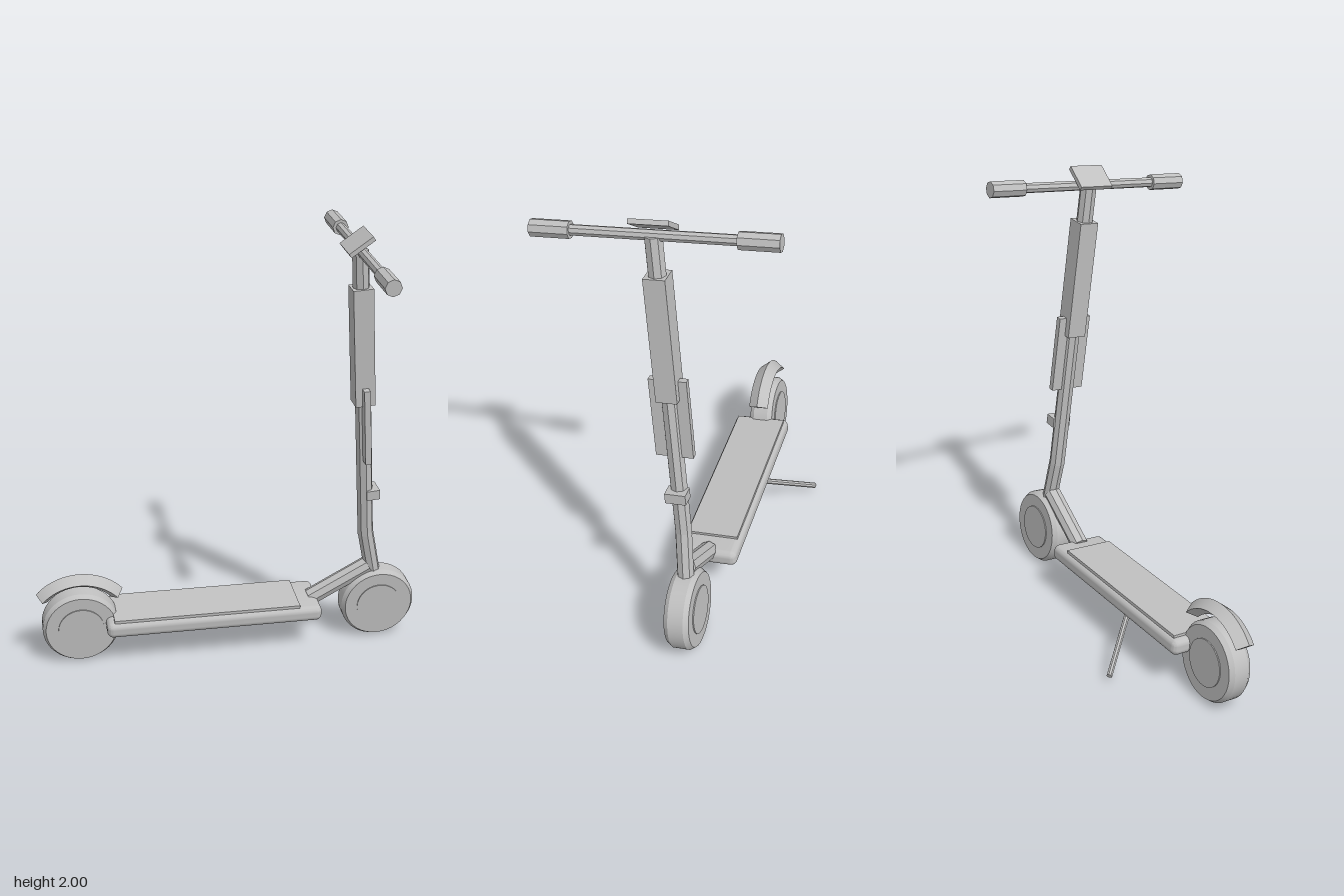
import * as THREE from 'three';
import { mergeGeometries, toCreasedNormals } from 'three/addons/utils/BufferGeometryUtils.js';
import { RoundedBoxGeometry } from 'three/addons/geometries/RoundedBoxGeometry.js';

export function createModel() {
  const grey = new THREE.MeshStandardMaterial({ color: 0xc0c0c0 });
  grey.name = 'light grey';
  const model = new THREE.Group();
  model.name = 'kickScooter';

  // The whole scooter leans over onto its kickstand
  const body = new THREE.Group();
  body.name = 'leaningBody';
  body.rotation.x = THREE.MathUtils.degToRad(6);
  body.position.set(0, 0.005, -0.19);
  model.add(body);

  function add(name, geometry, x = 0, y = 0, z = 0, parent = body) {
    const mesh = new THREE.Mesh(toCreasedNormals(geometry, 0.5), grey);
    mesh.name = name;
    mesh.position.set(x, y, z);
    parent.add(mesh);
    return mesh;
  }

  // Straight faceted bar between two points
  function rod(name, a, b, radius, sides = 8, parent = body) {
    const from = new THREE.Vector3(...a), to = new THREE.Vector3(...b);
    const dir = to.clone().sub(from);
    const mesh = add(name, new THREE.CylinderGeometry(radius, radius, dir.length(), sides), 0, 0, 0, parent);
    mesh.position.copy(from).add(to).multiplyScalar(0.5);
    mesh.quaternion.setFromUnitVectors(new THREE.Vector3(0, 1, 0), dir.normalize());
    return mesh;
  }

  // Wheels: chamfered tyre with a slightly raised hub on both faces
  const half = [[0.105, 0.06], [0.105, 0.055], [0.162, 0.055], [0.176, 0.034]];
  const profile = [[0, 0.06], ...half, ...half.slice().reverse().map(([r, h]) => [r, -h]), [0, -0.06]];
  const points = profile.reverse().map(([r, h]) => new THREE.Vector2(r, h));
  for (const [name, x] of [['rearWheel', -0.70], ['frontWheel', 0.715]]) {
    add(name, new THREE.LatheGeometry(points, 40).rotateX(Math.PI / 2), x, 0.177, 0);
  }

  // Rear mudguard: diamond section swept over the wheel, closed at both ends
  const arc = THREE.MathUtils.degToRad(98), sweep = 0.228, tube = 0.034;
  const guard = mergeGeometries([
    new THREE.TorusGeometry(sweep, tube, 4, 24, arc),
    new THREE.CircleGeometry(tube, 4).rotateX(Math.PI / 2).translate(sweep, 0, 0),
    new THREE.CircleGeometry(tube, 4).rotateX(-Math.PI / 2).translate(sweep, 0, 0).rotateZ(arc),
  ]);
  guard.rotateZ((Math.PI - arc) / 2).scale(1, 1, 1.4);
  add('rearMudguard', guard, -0.70, 0.177, 0);

  // Deck with its foot mat, and the neck rising to the stem
  add('deck', new RoundedBoxGeometry(1.008, 0.075, 0.266, 4, 0.028), -0.082, 0.194, 0);
  add('footMat', new THREE.BoxGeometry(0.868, 0.024, 0.232), -0.118, 0.231, 0);
  rod('neck', [0.388, 0.212, 0], [0.665, 0.37, 0], 0.041);

  // Bent stem
  rod('lowerStem', [0.692, 0.32, 0], [0.642, 0.555, 0], 0.037);
  rod('upperStem', [0.643, 0.54, 0], [0.533, 1.92, 0], 0.037);

  // Boxes fixed along the stem
  const lean = 0.079;
  const stemX = (y) => 0.643 - (y - 0.54) * 0.0797;
  const battery = add('batteryBox', new THREE.BoxGeometry(0.09, 0.545, 0.09), stemX(1.485), 1.485, 0);
  const plate = add('sidePlates', new THREE.BoxGeometry(0.028, 0.36, 0.16), stemX(1.12), 1.12, 0);
  const latch = add('foldingLatch', new THREE.BoxGeometry(0.062, 0.046, 0.09), 0.655, 0.761, 0);
  for (const part of [battery, plate, latch]) part.rotation.z = lean;

  // Handlebar, grips and tilted display
  const barX = 0.533, barY = 1.92;
  rod('handlebar', [barX, barY, -0.4], [barX, barY, 0.4], 0.022);
  for (const side of [-1, 1]) {
    rod(side > 0 ? 'frontGrip' : 'rearGrip', [barX, barY, side * 0.33], [barX, barY, side * 0.49], 0.036);
  }
  const display = add('display', new THREE.BoxGeometry(0.124, 0.02, 0.16), 0.518, 1.957, 0);
  display.rotation.z = THREE.MathUtils.degToRad(36);

  // Kickstand reaching out to the ground
  rod('kickstand', [-0.18, 0.172, -0.27], [-0.372, 0.035, -0.492], 0.013, 8, model);

  return model;
}
